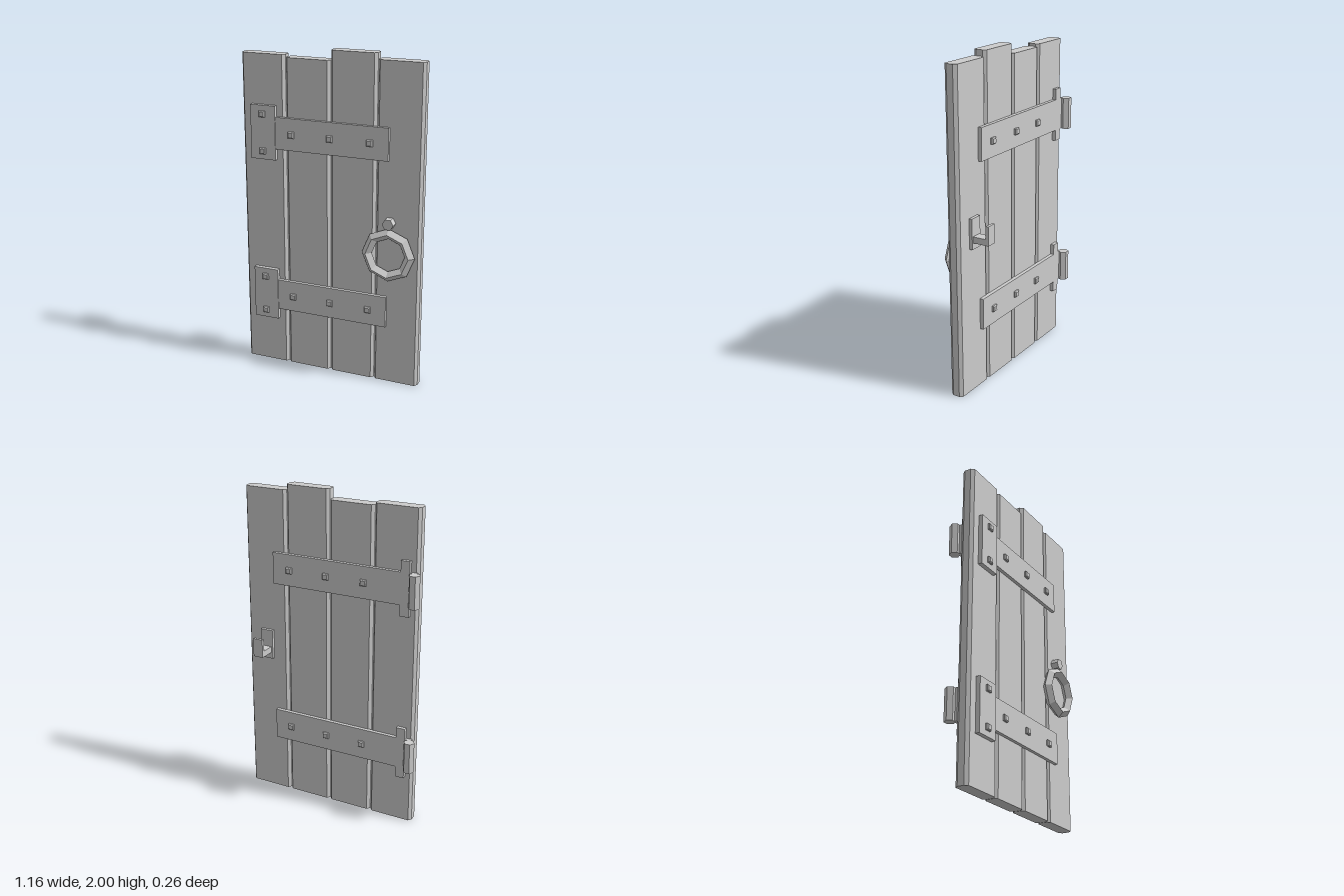
import * as THREE from 'three';

const BACK = -0.008, FRONT = 0.073; // faces of the planks

export function createModel() {
  const door = new THREE.Group();
  door.name = 'plankDoor';
  const grey = new THREE.MeshStandardMaterial({ color: 0xcccccc, flatShading: true });
  grey.name = 'plainGrey';

  const add = (name, geometry, parent = door) => {
    const mesh = new THREE.Mesh(geometry, grey);
    mesh.name = name;
    parent.add(mesh);
    return mesh;
  };
  // box given by its limits on each axis
  const block = (name, x0, x1, y0, y1, z0, z1, parent) =>
    add(name, new THREE.BoxGeometry(x1 - x0, y1 - y0, z1 - z0), parent)
      .position.set((x0 + x1) / 2, (y0 + y1) / 2, (z0 + z1) / 2);

  // four upright planks with chamfered long edges
  const planks = [[-0.555, -0.275, 1.955], [-0.271, 0.01, 1.94], [0.014, 0.297, 2], [0.301, 0.58, 1.965]];
  const cx = 0.015, cz = 0.02;
  for (const [a, b, height] of planks) {
    const outline = new THREE.Shape([
      [a + cx, -BACK], [a, -BACK - cz], [a, -FRONT + cz], [a + cx, -FRONT],
      [b - cx, -FRONT], [b, -FRONT + cz], [b, -BACK - cz], [b - cx, -BACK],
    ].map(([x, y]) => new THREE.Vector2(x, y)));
    add('plank', new THREE.ExtrudeGeometry(outline, { depth: height, bevelEnabled: false }).rotateX(-Math.PI / 2));
  }

  // square nail head with a bevelled top, pointing along +z
  const nailProfile = [[0.027, -0.004], [0.027, 0.009], [0.019, 0.016], [0, 0.016]]
    .map(([r, h]) => new THREE.Vector2(r, h));
  const nailGeometry = new THREE.LatheGeometry(nailProfile, 4, Math.PI / 4).rotateX(Math.PI / 2);
  const nail = (x, y, z, parent, back = false) => {
    const mesh = add('nail', nailGeometry, parent);
    mesh.position.set(x, y, z);
    if (back) mesh.rotation.y = Math.PI;
  };

  // upper and lower hinges, with straps on both faces
  for (const y of [1.491, 0.462]) {
    const hinge = new THREE.Group();
    hinge.name = 'hinge';
    door.add(hinge);
    const h = 0.097, tall = 0.164, strapFront = 0.094, plateFront = 0.1, strapBack = -0.031;
    block('frontStrap', -0.41, 0.38, y - h, y + h, FRONT - 0.003, strapFront, hinge);
    block('frontPlate', -0.488, -0.328, y - tall, y + tall, FRONT - 0.003, plateFront, hinge);
    block('backStrap', -0.548, 0.38, y - h, y + h, strapBack, BACK + 0.003, hinge);
    for (const side of [-1, 1]) {
      const ends = [y + side * h, y + side * tall].sort((p, q) => p - q);
      block('backPlateEnd', -0.51, -0.455, ends[0], ends[1], strapBack, BACK + 0.003, hinge);
      nail(-0.41, y + side * 0.112, plateFront, hinge);
    }
    for (const x of [-0.225, 0.02, 0.268]) {
      nail(x, y, strapFront, hinge);
      nail(x, y, strapBack, hinge, true);
    }
    // six-sided hinge barrel
    add('hingeBarrel', new THREE.CylinderGeometry(0.034, 0.034, 2 * h, 6, 1, false, Math.PI / 2), hinge)
      .position.set(-0.549, y, -0.05);
  }

  // ring pull and its six-sided stud
  add('ringPull', new THREE.TorusGeometry(0.133, 0.031, 4, 8)).position.set(0.393, 0.832, 0.101);
  add('ringStud', new THREE.CylinderGeometry(0.035, 0.035, 0.05, 6, 1, false, Math.PI / 2).rotateX(Math.PI / 2))
    .position.set(0.392, 1.023, 0.094);

  // bar catch on the back
  const latch = new THREE.Group();
  latch.name = 'latch';
  door.add(latch);
  block('latchPlate', 0.398, 0.48, 0.9, 1.085, -0.028, BACK + 0.003, latch);
  block('latchArm', 0.408, 0.472, 0.94, 0.978, -0.131, -0.026, latch);
  block('latchHook', 0.408, 0.472, 0.978, 1.056, -0.131, -0.113, latch);

  return door;
}
